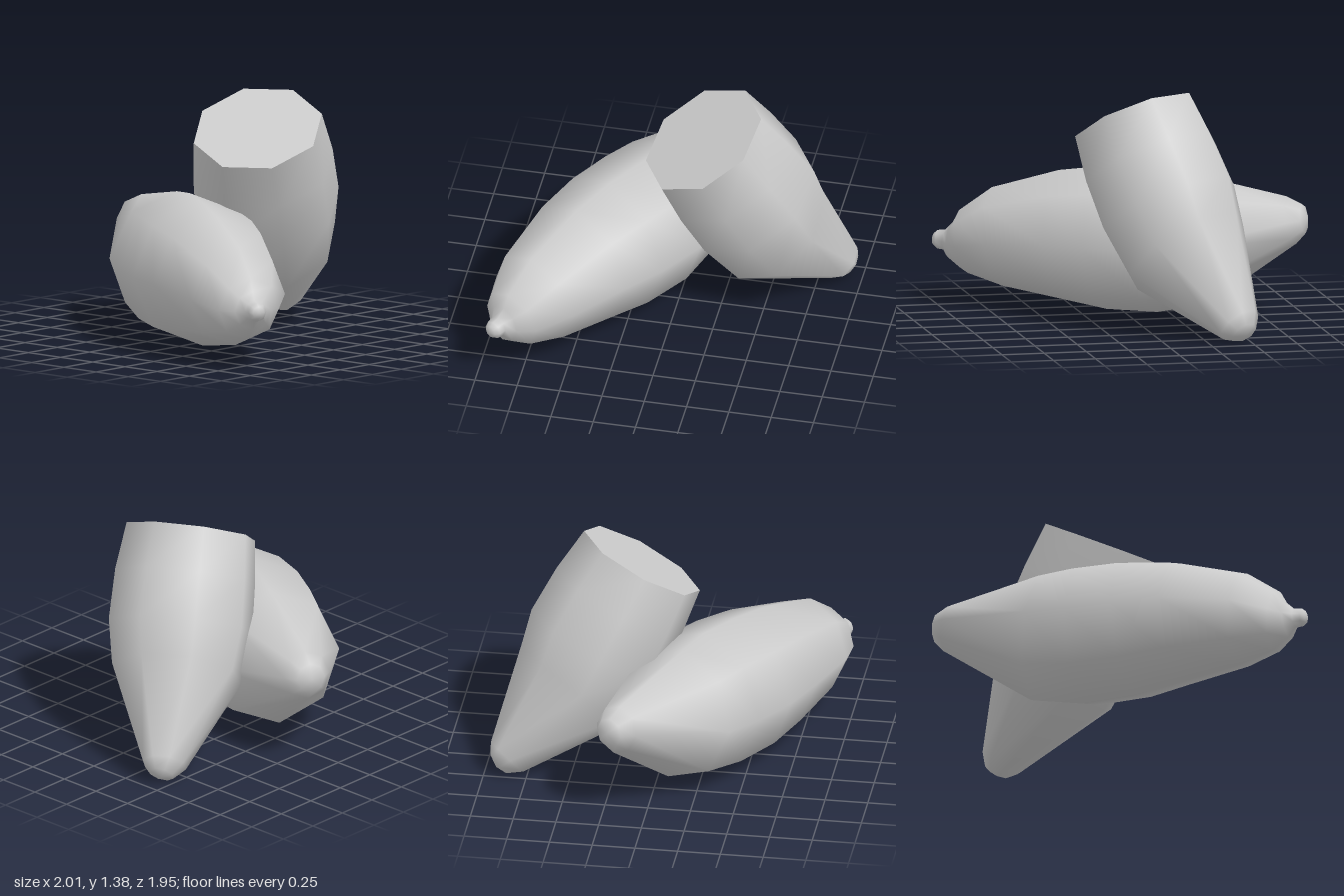
import * as THREE from 'three';

const SIDES = 8;
const grey = () => new THREE.MeshStandardMaterial({ color: 0xcccccc });

// Octagonal cross-sections along a path of [x, y, z, radius], each square to the path.
// One corner of every section points as near as possible to `ref`.
function makeRings(path, ref) {
  const centres = path.map(([x, y, z]) => new THREE.Vector3(x, y, z));
  return path.map((p, i) => {
    const before = centres[Math.max(i - 1, 0)];
    const after = centres[Math.min(i + 1, path.length - 1)];
    const t = after.clone().sub(before).normalize();
    const u = ref.clone().addScaledVector(t, -ref.dot(t)).normalize();
    const v = t.clone().cross(u);
    return Array.from({ length: SIDES }, (_, j) => {
      const a = (j / SIDES) * Math.PI * 2;
      return centres[i].clone()
        .addScaledVector(u, p[3] * Math.cos(a))
        .addScaledVector(v, p[3] * Math.sin(a));
    });
  });
}

// Smooth skin over the rings, closed by a fan at the start and optionally at the end
function skin(rings, startTip, endTip) {
  const points = rings.flat();
  const index = [];
  const last = (rings.length - 1) * SIDES;
  for (let i = 0; i < rings.length - 1; i++) {
    for (let j = 0; j < SIDES; j++) {
      const k = (j + 1) % SIDES;
      const a = i * SIDES + j, b = i * SIDES + k;
      index.push(a, b, b + SIDES, a, b + SIDES, a + SIDES);
    }
  }
  const start = points.push(startTip) - 1;
  const end = endTip ? points.push(endTip) - 1 : -1;
  for (let j = 0; j < SIDES; j++) {
    const k = (j + 1) % SIDES;
    index.push(start, k, j);
    if (endTip) index.push(end, last + j, last + k);
  }
  const geo = new THREE.BufferGeometry().setFromPoints(points);
  geo.setIndex(index);
  geo.computeVertexNormals();
  return geo;
}

// Flat polygon over one ring
function cutFace(ring) {
  const geo = new THREE.BufferGeometry().setFromPoints(ring);
  const index = [];
  for (let j = 1; j < SIDES - 1; j++) index.push(0, j, j + 1);
  geo.setIndex(index);
  geo.computeVertexNormals();
  return geo;
}

function addPart(parent, name, geo) {
  const mesh = new THREE.Mesh(geo, grey());
  mesh.name = name;
  parent.add(mesh);
}

export function createModel() {
  const model = new THREE.Group();
  model.name = 'vegetables';

  // Whole vegetable lying down, blunt tip to stem
  const wholePath = [
    [-0.965, 0.585, -0.195, 0.085],
    [-0.90, 0.575, -0.16, 0.14],
    [-0.40, 0.44, 0.11, 0.39],
    [-0.17, 0.42, 0.23, 0.425],
    [0.08, 0.415, 0.39, 0.42],
    [0.31, 0.415, 0.53, 0.38],
    [0.65, 0.385, 0.72, 0.29],
    [0.83, 0.345, 0.82, 0.185],
    [0.89, 0.345, 0.855, 0.11],
    [0.925, 0.35, 0.88, 0.06],
    [0.965, 0.35, 0.90, 0.055],
    [0.985, 0.35, 0.912, 0.035],
  ];
  const wholeRings = makeRings(wholePath, new THREE.Vector3(0, 1, 0));
  addPart(model, 'wholeVegetable', skin(wholeRings,
    new THREE.Vector3(-0.985, 0.59, -0.205), new THREE.Vector3(0.995, 0.35, 0.918)));

  // Half vegetable leaning on the whole one, tip down and cut face up
  const half = new THREE.Group();
  half.name = 'halfVegetable';
  const halfPath = [
    [-0.455, 0.055, -0.915, 0.075],
    [-0.435, 0.095, -0.87, 0.13],
    [-0.20, 0.48, -0.515, 0.385],
    [-0.12, 0.72, -0.395, 0.425],
    [-0.04, 0.965, -0.27, 0.415],
    [0.027, 1.195, -0.15, 0.382],
  ];
  const halfRings = makeRings(halfPath, new THREE.Vector3(-0.275, 0.195, -0.18));
  addPart(half, 'halfSkin', skin(halfRings, new THREE.Vector3(-0.465, 0.04, -0.93)));
  addPart(half, 'cutFace', cutFace(halfRings[halfRings.length - 1]));
  model.add(half);

  return model;
}
